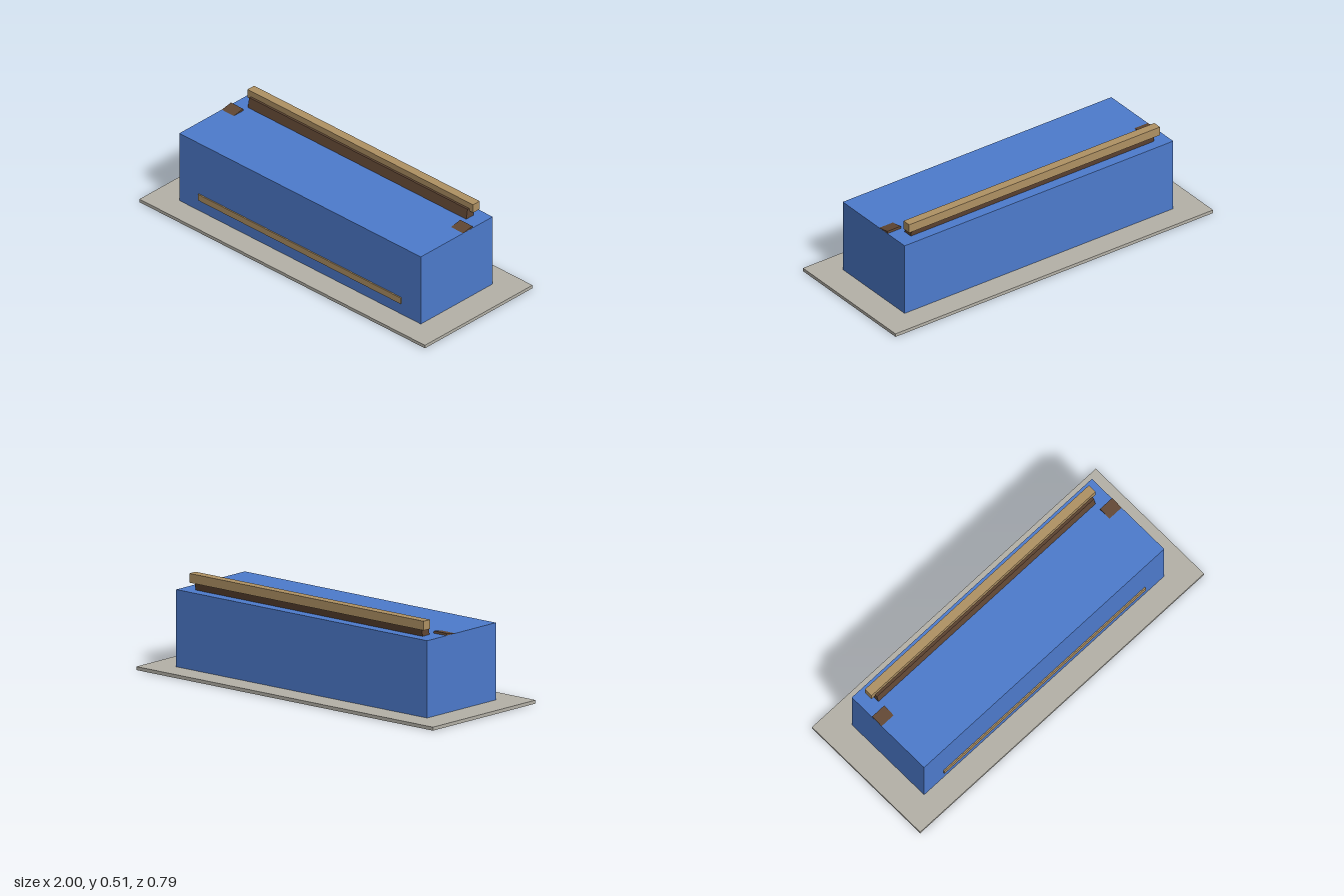
import * as THREE from 'three';

export function createModel() {
  const model = new THREE.Group();
  const paint = (name, color) => {
    const m = new THREE.MeshStandardMaterial({ color });
    m.name = name;
    return m;
  };
  const blue = paint('blue fabric', 0x4d7bcd);
  const tan = paint('light wood', 0xb09264);
  const brown = paint('dark wood', 0x614734);
  const stone = paint('pale stone', 0xb5b2a8);

  // Box given by size, centre and tilt about the x axis
  const addBox = (name, material, size, position, tilt = 0) => {
    const mesh = new THREE.Mesh(new THREE.BoxGeometry(...size), material);
    mesh.name = name;
    mesh.position.set(...position);
    mesh.rotation.x = tilt;
    model.add(mesh);
  };

  const lean = THREE.MathUtils.degToRad(10);

  // Floor slab and main block
  addBox('baseSlab', stone, [2, 0.018, 0.787], [0, 0.009, 0]);
  addBox('body', blue, [1.692, 0.402, 0.526], [0, 0.219, 0]);

  // Low rail along the front face
  addBox('frontRail', tan, [1.42, 0.036, 0.007], [0, 0.1, 0.2665]);

  // Leaning backboard with a square cap rail
  addBox('backboard', brown, [1.53, 0.16, 0.052], [0, 0.392, -0.175], -lean);
  addBox('capRail', tan, [1.58, 0.048, 0.048], [0, 0.482, -0.202]);

  // Tilted end blocks, mostly sunk into the body
  for (const side of [-1, 1]) {
    const name = side > 0 ? 'leftEndBlock' : 'rightEndBlock';
    addBox(name, brown, [0.085, 0.03, 0.1], [side * 0.803, 0.4085, -0.068], lean);
  }

  return model;
}
